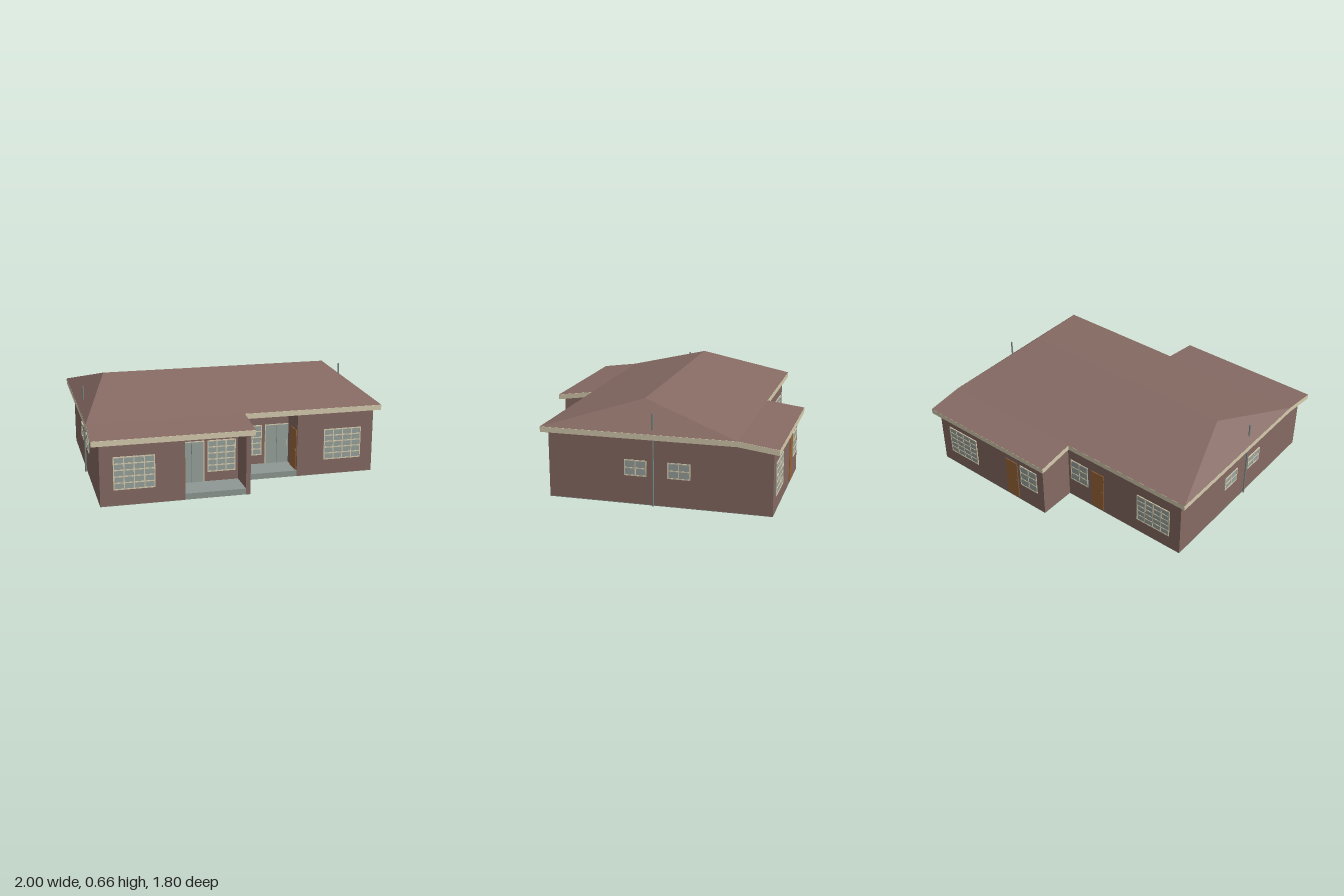
import * as THREE from 'three';

const mat = (name, color, opts = {}) => {
  const m = new THREE.MeshStandardMaterial({ color, ...opts });
  m.name = name;
  return m;
};

export function createModel() {
  const house = new THREE.Group();
  house.name = 'house';
  const brick = mat('brick brown', 0x866a63);
  const tile = mat('roof brown', 0x866a63, { side: THREE.DoubleSide });
  const cream = mat('cream trim', 0xd6ccae);
  const glass = mat('grey glass', 0x98a39e);
  const wood = mat('door wood', 0x9a6536);
  const concrete = mat('concrete', 0x8f9894);
  const metal = mat('pipe grey', 0x7c8683);

  const add = (parent, name, geo, material, x = 0, y = 0, z = 0) => {
    const mesh = new THREE.Mesh(geo, material);
    mesh.name = name;
    mesh.position.set(x, y, z);
    parent.add(mesh);
    return mesh;
  };
  const box = (parent, name, w, h, d, material, x, y, z) =>
    add(parent, name, new THREE.BoxGeometry(w, h, d), material, x, y, z);
  // group on a wall, turned to face outward
  const place = (name, x, y, z, turn) => {
    const g = new THREE.Group();
    g.name = name;
    g.position.set(x, y, z);
    g.rotation.y = turn;
    house.add(g);
    return g;
  };

  // Walls: floor plan (x, z) with two recessed porches, tops following the eaves
  const plan = [
    [-0.95, 0.86], [-0.41, 0.86], [-0.41, 0.66], [-0.01, 0.66], [-0.01, 0.86], [0.02, 0.86],
    [0.02, 0.64], [0.02, 0.4], [0.42, 0.4], [0.42, 0.6], [0.96, 0.6], [0.96, -0.64],
    [0.96, -0.86], [-0.01, -0.86], [-0.01, -0.64], [-0.01, -0.6], [-0.95, -0.6], [-0.95, 0.64],
  ];
  const shape = new THREE.Shape(plan.map(([x, z]) => new THREE.Vector2(x, -z)));
  const walls = new THREE.ExtrudeGeometry(shape, { depth: 0.45, bevelEnabled: false });
  walls.rotateX(-Math.PI / 2);
  const wp = walls.attributes.position;
  for (let i = 0; i < wp.count; i++) {
    if (wp.getY(i) > 0.1) wp.setY(i, 0.45 - Math.max(0, Math.abs(wp.getZ(i)) - 0.64) * 0.135);
  }
  walls.computeVertexNormals();
  add(house, 'walls', walls, brick);

  // Underside of the floor, and porch floors
  const slab = new THREE.ExtrudeGeometry(shape, { depth: 0.004, bevelEnabled: false });
  slab.rotateX(-Math.PI / 2);
  add(house, 'floorSlab', slab, concrete, 0, -0.001, 0);
  box(house, 'leftPorchFloor', 0.4, 0.04, 0.2, concrete, -0.21, 0.02, 0.76);
  box(house, 'rightPorchFloor', 0.4, 0.04, 0.2, concrete, 0.22, 0.02, 0.5);

  // Eaves: flat main band and two sloping wings
  box(house, 'mainEaves', 2, 0.035, 1.28, cream, 0, 0.4575, 0);
  const wing = (name, x0, x1, s) => {
    const g = new THREE.BoxGeometry(x1 - x0, 0.035, 0.26);
    g.translate((x0 + x1) / 2, 0.4575, s * 0.77);
    const p = g.attributes.position;
    for (let i = 0; i < p.count; i++) {
      p.setY(i, p.getY(i) - (Math.abs(p.getZ(i)) - 0.64) * 0.135);
    }
    g.computeVertexNormals();
    add(house, name, g, cream);
  };
  wing('frontWingEaves', -1, 0.04, 1);
  wing('backWingEaves', -0.05, 1, -1);

  // Roof covering: each face is a convex loop of corners
  const roofFaces = [
    [[-1, 0.476, 0.64], [1, 0.476, 0.64], [0.8, 0.655, 0], [-0.8, 0.655, 0]],
    [[1, 0.476, -0.64], [-1, 0.476, -0.64], [-0.8, 0.655, 0], [0.8, 0.655, 0]],
    [[1, 0.476, 0.64], [1, 0.476, -0.64], [0.8, 0.655, 0]],
    [[-1, 0.476, -0.64], [-1, 0.476, 0.64], [-0.8, 0.655, 0]],
    [[-1, 0.441, 0.9], [0.04, 0.441, 0.9], [0.04, 0.476, 0.64], [-1, 0.476, 0.64]],
    [[1, 0.441, -0.9], [-0.05, 0.441, -0.9], [-0.05, 0.476, -0.64], [1, 0.476, -0.64]],
  ];
  const corners = [];
  for (const f of roofFaces) {
    for (let i = 1; i < f.length - 1; i++) corners.push(...f[0], ...f[i], ...f[i + 1]);
  }
  const roof = new THREE.BufferGeometry();
  roof.setAttribute('position', new THREE.Float32BufferAttribute(corners, 3));
  roof.computeVertexNormals();
  add(house, 'roof', roof, tile);

  // Windows: glass plate with a frame and glazing bars
  const windowAt = (name, x, y, z, turn, w, h, cols, rows) => {
    const g = place(name, x, y, z, turn);
    const b = 0.007;
    box(g, 'glass', w, h, 0.006, glass, 0, 0, 0.001);
    for (let i = 0; i <= cols; i++) {
      box(g, 'uprightBar', b, h, 0.009, cream, (i / cols - 0.5) * (w - b), 0, 0.002);
    }
    for (let j = 0; j <= rows; j++) {
      box(g, 'crossBar', w, b, 0.009, cream, 0, (j / rows - 0.5) * (h - b), 0.002);
    }
  };
  const back = Math.PI;
  const side = Math.PI / 2;
  windowAt('frontLeftWindow', -0.733, 0.212, 0.86, 0, 0.265, 0.215, 4, 5);
  windowAt('frontRightWindow', 0.74, 0.212, 0.6, 0, 0.265, 0.215, 4, 5);
  windowAt('leftPorchWindow', -0.123, 0.212, 0.66, 0, 0.19, 0.215, 3, 5);
  windowAt('rightPorchWindow', 0.133, 0.212, 0.4, 0, 0.19, 0.215, 3, 5);
  windowAt('backWindow', 0.745, 0.212, -0.86, back, 0.265, 0.215, 4, 5);
  windowAt('backWindow', -0.733, 0.212, -0.6, back, 0.265, 0.215, 4, 5);
  windowAt('kitchenWindow', 0.122, 0.235, -0.86, back, 0.15, 0.17, 2, 3);
  windowAt('kitchenWindow', -0.108, 0.235, -0.6, back, 0.15, 0.17, 2, 3);
  for (const s of [1, -1]) {
    const x = s > 0 ? 0.96 : -0.95;
    windowAt('sideWindow', x, 0.24, s * 0.018, s * side, 0.147, 0.105, 2, 2);
    windowAt('sideWindow', x, 0.24, -s * 0.265, s * side, 0.147, 0.105, 2, 2);
  }

  // Glazed porch doors, mirrored
  for (const [x, z, s] of [[-0.325, 0.66, 1], [0.335, 0.4, -1]]) {
    const g = place('glazedDoor', x, 0.18, z, 0);
    box(g, 'doorGlass', 0.17, 0.28, 0.006, glass, 0, 0, 0.001);
    box(g, 'doorJamb', 0.006, 0.28, 0.009, cream, s * 0.082, 0, 0.002);
    box(g, 'doorHead', 0.17, 0.006, 0.009, cream, 0, 0.137, 0.002);
    box(g, 'doorSeam', 0.003, 0.28, 0.008, metal, 0, 0, 0.002);
    box(g, 'doorHandle', 0.005, 0.04, 0.01, cream, -s * 0.075, 0, 0.003);
  }

  // Wooden doors: two at the back, one on the side wall of each porch
  const woodDoor = (name, x, y, z, turn, w, h) => {
    const g = place(name, x, y, z, turn);
    box(g, 'doorLeaf', w, h, 0.008, wood, 0, 0, 0.001);
    box(g, 'doorKnob', 0.006, 0.012, 0.01, metal, w * 0.4, 0, 0.003);
  };
  woodDoor('backDoor', 0.277, 0.168, -0.86, back, 0.105, 0.3);
  woodDoor('backDoor', -0.267, 0.168, -0.6, back, 0.105, 0.3);
  woodDoor('leftPorchDoor', -0.41, 0.18, 0.785, side, 0.12, 0.28);
  woodDoor('rightPorchDoor', 0.42, 0.18, 0.525, -side, 0.12, 0.28);

  // Vent pipes rising along the side walls through the eaves
  const pipe = new THREE.CylinderGeometry(0.006, 0.006, 0.605, 12);
  add(house, 'rightVentPipe', pipe, metal, 0.971, 0.3025, -0.1);
  add(house, 'leftVentPipe', pipe, metal, -0.96, 0.3025, 0.16);

  return house;
}
